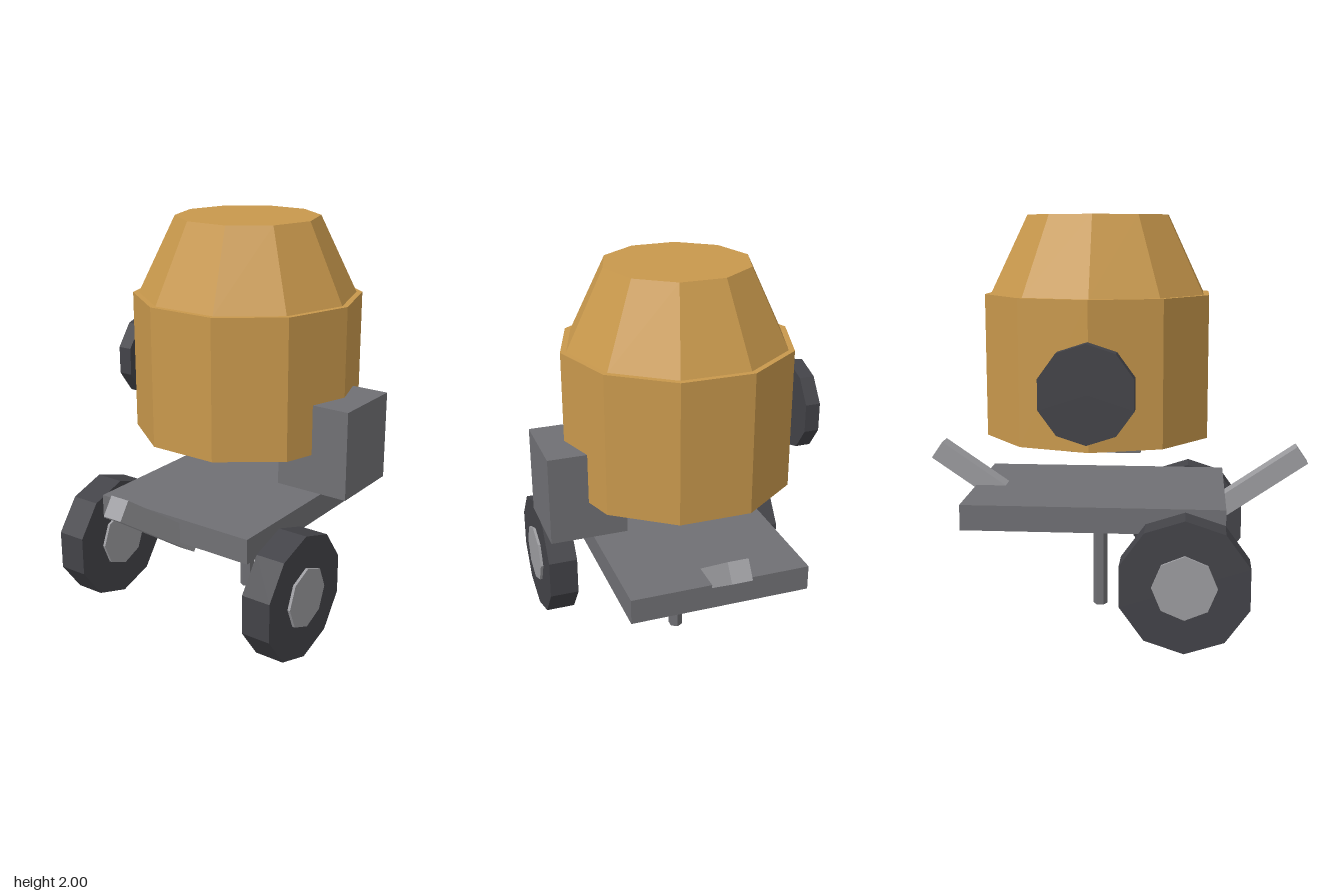
import * as THREE from 'three';

export function createModel() {
  const model = new THREE.Group();
  model.name = 'cementMixer';

  const paint = (name, color) => {
    const m = new THREE.MeshStandardMaterial({ color, flatShading: true });
    m.name = name;
    return m;
  };
  const ochre = paint('ochre', 0xc8984c);
  const grey = paint('steelGrey', 0x707074);
  const lightGrey = paint('lightGrey', 0x9c9ca0);
  const dark = paint('rubber', 0x434348);

  const add = (name, geometry, material, x, y, z) => {
    const mesh = new THREE.Mesh(geometry, material);
    mesh.name = name;
    mesh.position.set(x, y, z);
    model.add(mesh);
    return mesh;
  };
  // Disc whose axis runs along z
  const disc = (radius, depth, sides) =>
    new THREE.CylinderGeometry(radius, radius, depth, sides).rotateX(Math.PI / 2);

  const cx = 0.093, cz = -0.014;

  // Drum and its tapered mouth
  add('drum', new THREE.CylinderGeometry(0.57, 0.57, 0.695, 10), ochre, cx, 1.2725, cz);
  add('drumCone', new THREE.CylinderGeometry(0.356, 0.541, 0.38, 10), ochre, cx, 1.81, cz);

  // Chassis, motor housing and support leg
  add('basePlate', new THREE.BoxGeometry(1.27, 0.125, 0.89), grey, cx, 0.572, cz);
  add('motorBox', new THREE.BoxGeometry(0.38, 0.44, 0.38), grey, cx, 0.955, 0.495);
  add('supportLeg', new THREE.CylinderGeometry(0.037, 0.037, 0.54, 6).rotateY(Math.PI / 2),
    grey, cx, 0.27, cz);

  // Tilting handwheel behind the drum
  add('handWheel', disc(0.228, 0.075, 10), dark, cx, 1.208, -0.65);

  // Road wheels with hubs
  for (const side of [1, -1]) {
    const z = cz + side * 0.571;
    add('wheel', disc(0.317, 0.15, 10), dark, -0.352, 0.317, z);
    add('wheelHub', disc(0.152, 0.178, 8), lightGrey, -0.352, 0.32, z);
  }

  // Sloping push handles at both ends
  for (const side of [1, -1]) {
    const handle = add('handle', new THREE.BoxGeometry(0.634, 0.1, 0.1), lightGrey,
      side * 0.667, 0.637, cz);
    handle.rotation.z = side * 0.602;
  }

  return model;
}
